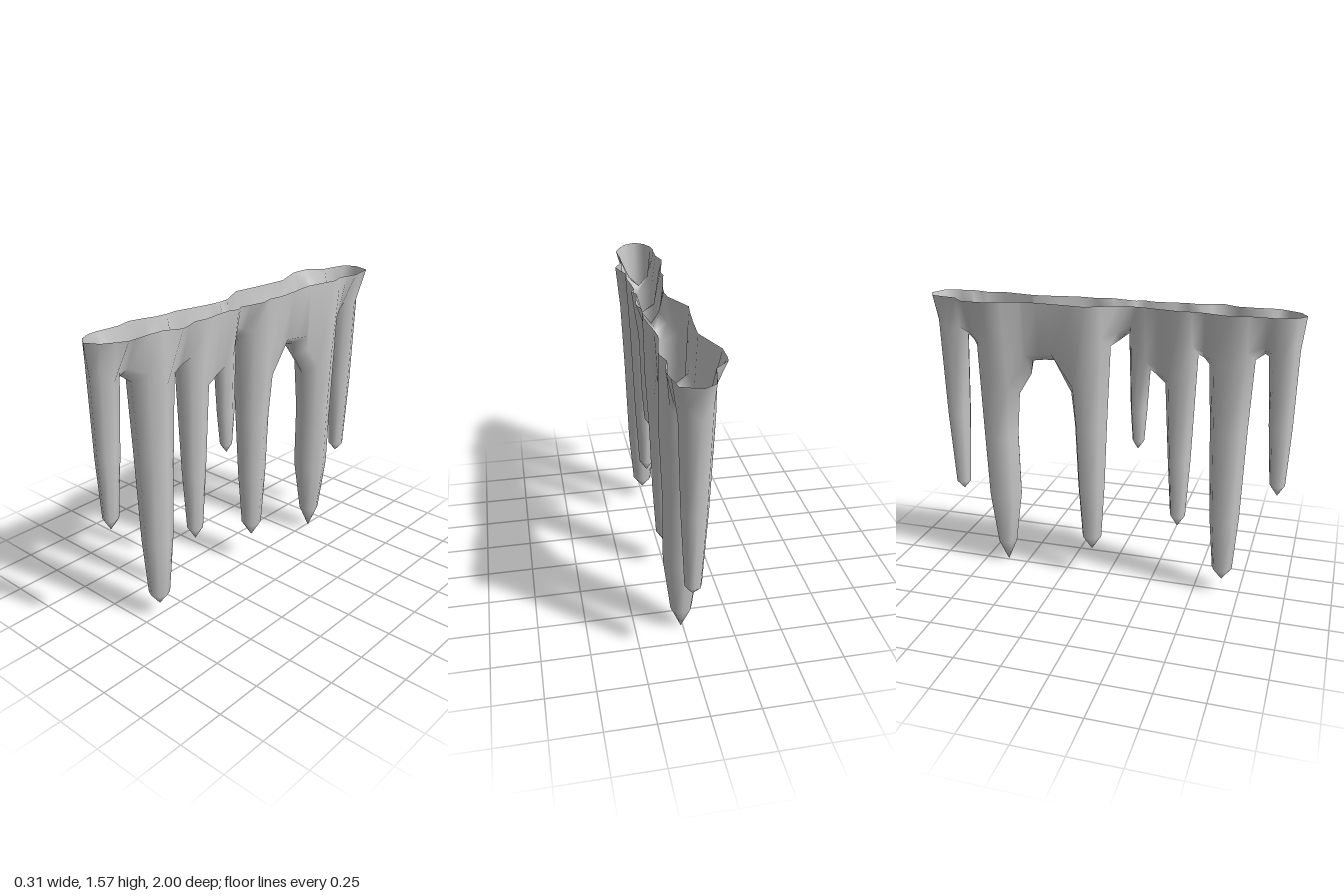
import * as THREE from 'three';
import { mergeVertices } from 'three/addons/utils/BufferGeometryUtils.js';

const TOP = 1.57;
const SIDES = 8;

// Wavy rim outline as [z, x], one list per side
const rimLeft = [[-1, 0.02], [-0.97, 0.105], [-0.8, 0.138], [-0.71, 0.105], [-0.63, 0.13], [-0.42, 0.09], [-0.2, 0.127],
  [-0.1, 0.11], [0.025, 0.14], [0.1, 0.085], [0.155, 0.127], [0.21, 0.1], [0.4, 0.12], [0.46, 0.105],
  [0.555, 0.155], [0.66, 0.095], [0.86, 0.105], [0.97, 0.04], [1, -0.02]];
const rimRight = [[-1, 0], [-0.96, -0.06], [-0.81, -0.085], [-0.78, -0.15], [-0.645, -0.165], [-0.44, -0.09], [-0.21, -0.105],
  [-0.1, -0.125], [0.08, -0.035], [0.21, -0.05], [0.4, -0.09], [0.475, -0.075], [0.635, -0.13],
  [0.75, -0.1], [0.87, -0.115], [0.95, -0.095], [1, -0.03]];

// Icicles from front to back: centre x and rows of [y, z, radius] from the tip to the junction
const icicles = [
  { x: -0.025, rows: [[0.62, 0.92, 0], [0.68, 0.917, 0.04], [1.0, 0.912, 0.06], [0, 0.905, 0.075]] },
  { x: 0, rows: [[0.07, 0.65, 0], [0.14, 0.65, 0.055], [0.45, 0.648, 0.08], [0.95, 0.647, 0.098], [0, 0.648, 0.115]] },
  { x: 0.015, rows: [[0.355, 0.39, 0], [0.42, 0.39, 0.042], [0.75, 0.389, 0.062], [0, 0.388, 0.084]] },
  { x: 0.03, rows: [[0.78, 0.158, 0], [0.83, 0.16, 0.032], [1.0, 0.161, 0.045], [0, 0.162, 0.058]] },
  { x: -0.01, rows: [[0.155, -0.095, 0], [0.24, -0.095, 0.055], [0.55, -0.096, 0.076], [0.9, -0.096, 0.09], [0, -0.095, 0.11]] },
  { x: 0.01, rows: [[0, -0.62, 0], [0.13, -0.62, 0.056], [0.44, -0.618, 0.096], [0.8, -0.628, 0.1], [0, -0.628, 0.118]] },
  { x: 0.01, rows: [[0.43, -0.88, 0], [0.48, -0.88, 0.042], [0.9, -0.88, 0.066], [0, -0.88, 0.083]] },
];

// Underside of the web between neighbours: [z, y] from the front icicle to the back one
const arches = [
  [[0.83, 1.36], [0.81, 1.37], [0.76, 1.33]],
  [[0.53, 1.29], [0.505, 1.32], [0.475, 1.335]],
  [[0.305, 1.165], [0.265, 1.2], [0.22, 1.23]],
  [[0.105, 1.415], [0.065, 1.385], [0.015, 1.35]],
  [[-0.205, 1.08], [-0.3, 1.25], [-0.36, 1.245], [-0.425, 1.235], [-0.435, 1.16], [-0.51, 1.04]],
  [[-0.745, 1.29], [-0.765, 1.33], [-0.797, 1.355]],
];

function rimX(list, z) {
  let i = 1;
  while (i < list.length - 1 && list[i][0] < z) i++;
  const [z0, x0] = list[i - 1], [z1, x1] = list[i];
  return THREE.MathUtils.lerp(x0, x1, THREE.MathUtils.clamp((z - z0) / (z1 - z0), 0, 1));
}

const rimPoint = (left, z) => new THREE.Vector3(rimX(left ? rimLeft : rimRight, z), TOP, z);

// Vertical lines of points, tip to rim, around one icicle
function makeColumns({ x, rows }, index) {
  const front = index > 0 ? arches[index - 1].at(-1)[1] : 1.4;
  const back = index < arches.length ? arches[index][0][1] : 1.4;
  const columns = [];
  for (let k = 0; k < SIDES; k++) {
    const a = (k / SIDES) * Math.PI * 2, c = Math.cos(a), s = Math.sin(a);
    const diagonal = k % 2 === 1 ? 0.05 : 0;
    const arch = (k % 4 === 0 ? (front + back) / 2 : s > 0 ? front : back) + diagonal;
    const points = rows.map(([y, z, r], j) =>
      new THREE.Vector3(x + c * r, j === rows.length - 1 ? arch : y, z + s * r));
    let z = rows.at(-1)[1] + s * rows.at(-1)[2];
    if (index === 0 && s > 0.1) z = k === 2 ? 1 : 0.965;
    if (index === icicles.length - 1 && s < -0.1) z = k === 6 ? -1 : -0.965;
    const rim = rimPoint(c > 0, z);
    if (k % 4 === 2) rim.x = (rimX(rimLeft, z) + rimX(rimRight, z)) / 2;
    columns.push([...points, rim]);
  }
  return columns;
}

export function createModel() {
  const positions = [];
  const tri = (...points) => points.forEach((p) => positions.push(p.x, p.y, p.z));
  const quad = (a, b, c, d) => { tri(a, b, d); tri(b, c, d); };
  const all = icicles.map(makeColumns);

  // Icicle walls, left open above the junction where a web joins
  all.forEach((columns, i) => {
    for (let k = 0; k < SIDES; k++) {
      const a = columns[k], b = columns[(k + 1) % SIDES];
      const webbed = ((k === 1 || k === 2) && i > 0) || ((k === 5 || k === 6) && i < all.length - 1);
      const last = a.length - (webbed ? 2 : 1);
      tri(a[0], a[1], b[1]);
      for (let j = 1; j < last; j++) quad(a[j], a[j + 1], b[j + 1], b[j]);
    }
  });

  // Trough-shaped webs between neighbours
  const profile = (cols, l, m, r) =>
    [cols[l].at(-1), cols[l].at(-2), cols[m].at(-2), cols[r].at(-2), cols[r].at(-1)];
  arches.forEach((arch, i) => {
    const start = profile(all[i], 7, 6, 5), end = profile(all[i + 1], 1, 2, 3);
    const n = arch.length - 1;
    const sections = arch.map(([z, y], step) => {
      if (step === 0) return start;
      if (step === n) return end;
      const t = (z - arch[0][0]) / (arch[n][0] - arch[0][0]);
      return start.map((p, u) => {
        const q = p.clone().lerp(end[u], t);
        if (u === 0 || u === 4) return rimPoint(u === 0, q.z);
        q.y = u === 2 ? y : y + 0.05;
        return q;
      });
    });
    for (let v = 0; v < n; v++) {
      const a = sections[v], b = sections[v + 1];
      for (let u = 0; u < 4; u++) quad(a[u], a[u + 1], b[u + 1], b[u]);
    }
  });

  let geometry = new THREE.BufferGeometry();
  geometry.setAttribute('position', new THREE.Float32BufferAttribute(positions, 3));
  geometry = mergeVertices(geometry, 1e-4);
  geometry.computeVertexNormals();

  const mesh = new THREE.Mesh(geometry,
    new THREE.MeshStandardMaterial({ color: 0xcccccc, side: THREE.DoubleSide }));
  mesh.name = 'icicleRow';
  const group = new THREE.Group();
  group.name = 'icicles';
  group.add(mesh);
  return group;
}
